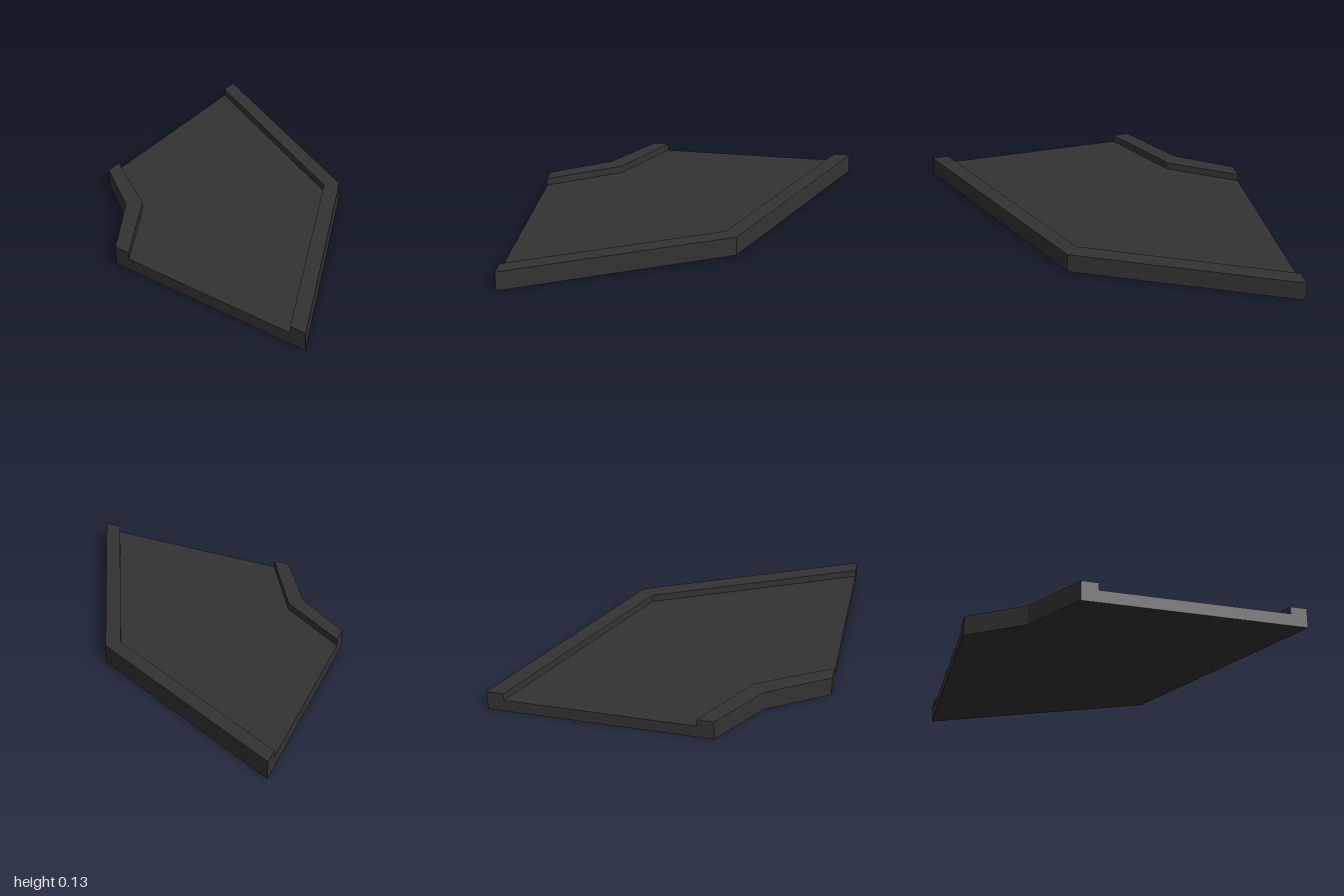
import * as THREE from 'three';

export function createModel() {
  const group = new THREE.Group();
  group.name = 'cornerTrackTile';
  const charcoal = new THREE.MeshStandardMaterial({ color: 0x333333 });
  charcoal.name = 'charcoal';

  // Plan outlines as [x, z]; each rim has an outside edge and an inset edge
  const outerEdge = [[-0.985, -1], [0.34, -0.36], [0.985, 1]];
  const outerInset = [[-0.985, -0.895], [0.27, -0.285], [0.88, 1]];
  const innerEdge = [[-0.985, 0.385], [-0.64, 0.62], [-0.405, 1]];
  const innerInset = [[-0.985, 0.28], [-0.565, 0.545], [-0.3, 1]];

  // Closes two edges into an outline and raises it from the ground
  function addSlab(name, edgeA, edgeB, height) {
    const points = [...edgeA, ...[...edgeB].reverse()].map(([x, z]) => new THREE.Vector2(x, z));
    const geometry = new THREE.ExtrudeGeometry(new THREE.Shape(points), { depth: height, bevelEnabled: false });
    geometry.rotateX(Math.PI / 2).translate(0, height, 0);
    const mesh = new THREE.Mesh(geometry, charcoal);
    mesh.name = name;
    group.add(mesh);
  }

  addSlab('floor', outerInset, innerInset, 0.08);
  addSlab('outerRim', outerEdge, outerInset, 0.128);
  addSlab('innerRim', innerEdge, innerInset, 0.128);
  return group;
}
